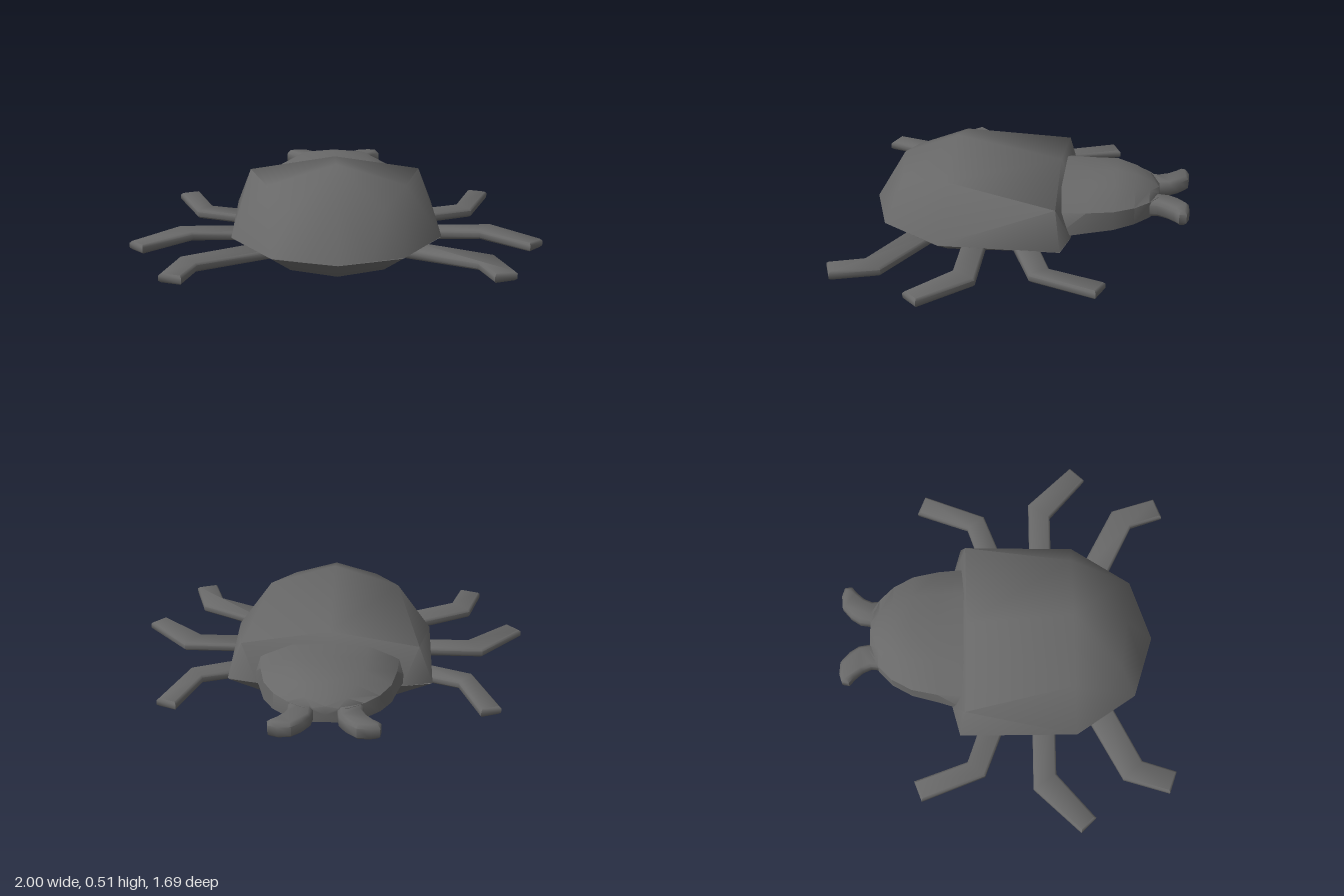
import * as THREE from 'three';
import { toCreasedNormals } from 'three/addons/utils/BufferGeometryUtils.js';

const material = new THREE.MeshStandardMaterial({ color: 0x686868, side: THREE.DoubleSide });

// Lofts mirrored half sections (each listed from the centre line outwards, rows running to +z).
function loft(rows, flip, crease) {
  const positions = [], index = [];
  const n = rows[0].length * 2 - 1;
  for (const half of rows) {
    const mirrored = half.slice(1).reverse().map(([x, y, z]) => [-x, y, z]);
    for (const p of [...mirrored, ...half]) positions.push(...p);
  }
  for (let i = 0; i < rows.length - 1; i++) {
    for (let j = 0; j < n - 1; j++) {
      const a = i * n + j, b = a + 1, c = a + n, d = c + 1;
      // The diagonal swaps at the centre line so both sides match
      const faces = j < (n - 1) / 2 ? [a, c, b, b, c, d] : [a, c, d, a, d, b];
      index.push(...(flip ? faces.reverse() : faces));
    }
  }
  const geometry = new THREE.BufferGeometry();
  geometry.setAttribute('position', new THREE.Float32BufferAttribute(positions, 3));
  geometry.setIndex(index);
  return toCreasedNormals(geometry, crease);
}

// Slab from an outline in x and z, with softly shaded bevels.
function slab(outline, side, bottom, top, bevel) {
  const shape = new THREE.Shape(outline.map(([x, z]) => new THREE.Vector2(x * side, z)));
  const geometry = new THREE.ExtrudeGeometry(shape, {
    depth: top - bottom - 2 * bevel, bevelEnabled: true, bevelSegments: 1,
    bevelSize: bevel, bevelThickness: bevel, bevelOffset: 0.005 - bevel,
  });
  geometry.rotateX(Math.PI / 2);
  geometry.translate(0, top - bevel, 0);
  return toCreasedNormals(geometry, 0.9);
}

export function createModel() {
  const group = new THREE.Group();
  const add = (name, geometry) => {
    const mesh = new THREE.Mesh(geometry, material);
    mesh.name = name;
    group.add(mesh);
  };

  // Domed wing case with its sloping wall behind the head
  add('shell', loft([
    [[0, 0.155, -0.28], [0.36, 0.155, -0.28], [0.51, 0.155, -0.24]],
    [[0, 0.41, -0.2], [0.44, 0.34, -0.21], [0.51, 0.155, -0.24]],
    [[0, 0.515, 0.33], [0.335, 0.41, 0.33], [0.51, 0.155, 0.35]],
    [[0, 0.41, 0.6], [0.22, 0.36, 0.57], [0.31, 0.155, 0.65]],
    [[0, 0.155, 0.75], [0.155, 0.155, 0.7], [0.31, 0.155, 0.65]],
  ], false, 1.25));

  // Shallow belly
  add('belly', loft([
    [[0, 0.155, -0.28], [0.36, 0.155, -0.28], [0.505, 0.15, -0.24]],
    [[0, 0.045, -0.2], [0.335, 0.06, -0.2], [0.505, 0.15, -0.24]],
    [[0, 0, 0.33], [0.335, 0.045, 0.33], [0.505, 0.15, 0.35]],
    [[0, 0.045, 0.6], [0.22, 0.065, 0.56], [0.305, 0.15, 0.645]],
    [[0, 0.15, 0.74], [0.15, 0.15, 0.695], [0.305, 0.15, 0.645]],
  ], true, 0.8));

  // Head: low dome over a rim band that flares at the base
  // z, half width, lower half width, top, bottom
  const headStations = [
    [-0.697, 0, 0, 0.24, 0.24],
    [-0.695, 0.11, 0.112, 0.285, 0.2],
    [-0.65, 0.18, 0.185, 0.315, 0.2],
    [-0.58, 0.25, 0.255, 0.345, 0.195],
    [-0.48, 0.305, 0.308, 0.365, 0.185],
    [-0.35, 0.332, 0.34, 0.357, 0.175],
    [-0.2, 0.345, 0.385, 0.35, 0.165],
  ];
  add('head', loft(headStations.map(([z, w, low, top, bottom]) => [
    [0, top, z],
    [w * 0.55, top - (w ? 0.01 : 0), z],
    [w, Math.min(top, 0.28), z],
    [low, bottom, z],
    [0, bottom, z],
  ]), false, 0.9));

  // Legs and curved mandibles, mirrored
  const legs = {
    front: [[0.4, 0], [0.71, -0.12], [0.83, -0.43], [0.74, -0.465], [0.645, -0.2], [0.4, -0.115]],
    middle: [[0.4, 0.13], [0.78, 0.13], [0.995, 0.358], [0.93, 0.425], [0.71, 0.235], [0.4, 0.235]],
    rear: [[0.35, 0.375], [0.735, 0.58], [0.803, 0.802], [0.705, 0.837], [0.65, 0.67], [0.3, 0.495]],
  };
  const mandible = [
    [0.06, -0.6], [0.06, -0.69], [0.07, -0.75], [0.1, -0.795], [0.15, -0.838], [0.21, -0.842],
    [0.25, -0.83], [0.255, -0.8], [0.225, -0.775], [0.19, -0.735], [0.17, -0.69], [0.178, -0.6],
  ];
  for (const [sideName, side] of [['Left', 1], ['Right', -1]]) {
    for (const [name, outline] of Object.entries(legs)) {
      add(`${name}Leg${sideName}`, slab(outline, side, 0.1, 0.144, 0.01));
    }
    add(`mandible${sideName}`, slab(mandible, side, 0.2, 0.278, 0.015));
  }
  return group;
}
